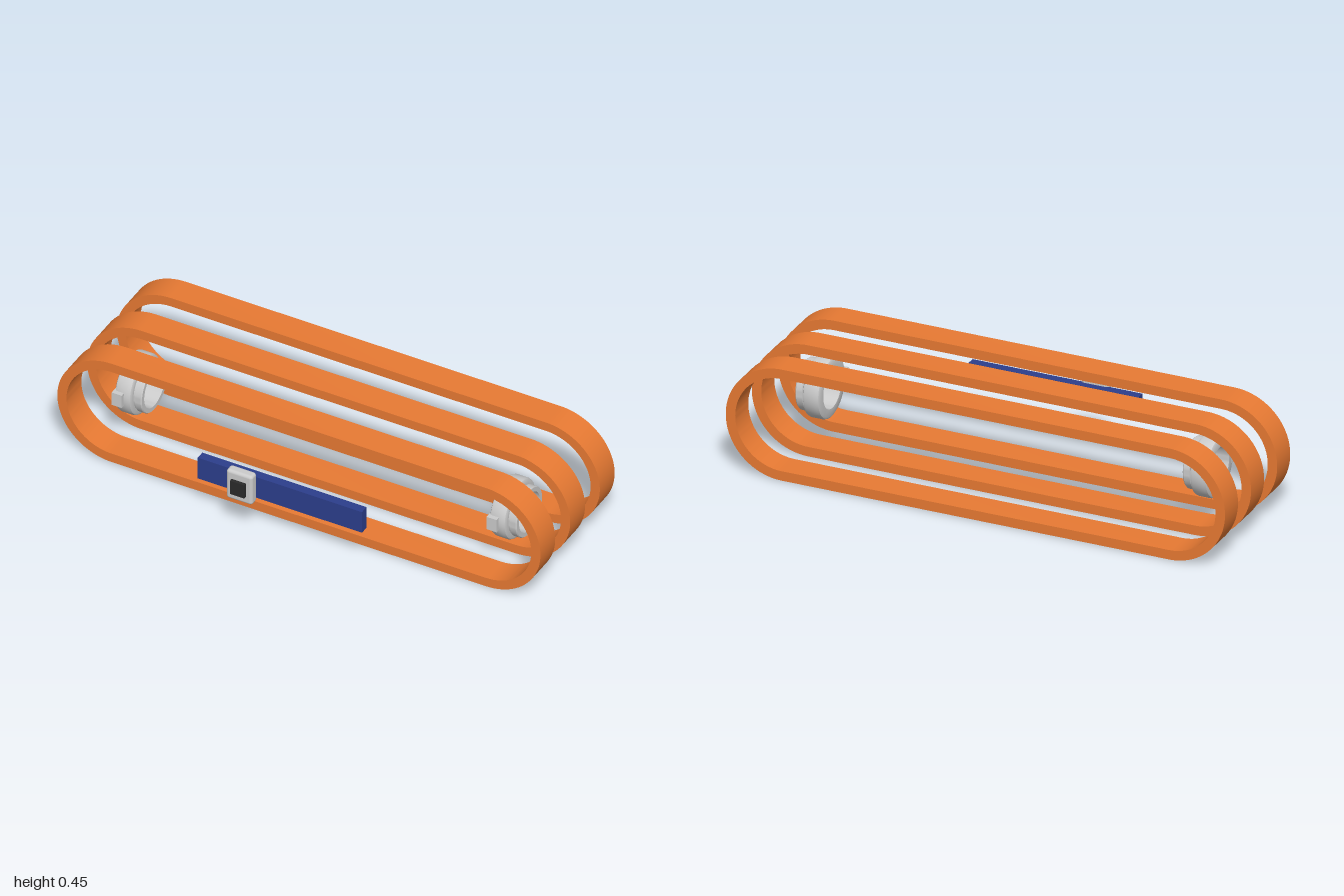
import * as THREE from 'three';
import { toCreasedNormals } from 'three/addons/utils/BufferGeometryUtils.js';
import { RoundedBoxGeometry } from 'three/addons/geometries/RoundedBoxGeometry.js';

const MID_Y = 0.224;

const orange = new THREE.MeshStandardMaterial({ color: 0xe87a33 });
const blue = new THREE.MeshStandardMaterial({ color: 0x2c3e8c });
const dark = new THREE.MeshStandardMaterial({ color: 0x2b2b2b });
const grey = new THREE.MeshStandardMaterial({ color: 0xcccccc });

function addMesh(parent, name, geometry, material, x = 0, y = 0, z = 0) {
  const mesh = new THREE.Mesh(geometry, material);
  mesh.name = name;
  mesh.position.set(x, y, z);
  parent.add(mesh);
  return mesh;
}

// Closed outline: two half circles joined by straight runs
function stadium(path, halfRun, r) {
  path.moveTo(-halfRun, -r);
  path.lineTo(halfRun, -r);
  path.absarc(halfRun, 0, r, -Math.PI / 2, Math.PI / 2, false);
  path.lineTo(-halfRun, r);
  path.absarc(-halfRun, 0, r, Math.PI / 2, Math.PI * 1.5, false);
  return path;
}

// Flat strap loop, extruded along z
function bandGeometry(depth) {
  const halfRun = 1 - MID_Y;
  const shape = stadium(new THREE.Shape(), halfRun, MID_Y);
  shape.holes.push(stadium(new THREE.Path(), halfRun, MID_Y - 0.038));
  const geo = new THREE.ExtrudeGeometry(shape, { depth, bevelEnabled: false, curveSegments: 32 });
  geo.translate(0, 0, -depth / 2);
  return toCreasedNormals(geo, 0.5);
}

// Stepped hollow ring turned around the x axis, with a small tab in front
function createRing(name) {
  const ring = new THREE.Group();
  ring.name = name;
  const profile = [
    [0.079, 0], [0.108, 0], [0.115, 0.004], [0.118, 0.012], [0.118, 0.056],
    [0.115, 0.064], [0.108, 0.068], [0.094, 0.068], [0.094, 0.074], [0.099, 0.076],
    [0.099, 0.1], [0.096, 0.104], [0.079, 0.104], [0.079, 0],
  ].map(([r, h]) => new THREE.Vector2(r, h));
  const body = toCreasedNormals(new THREE.LatheGeometry(profile, 64), 0.6);
  body.rotateZ(-Math.PI / 2);
  addMesh(ring, 'ringBody', body, grey);
  addMesh(ring, 'ringTab', new THREE.BoxGeometry(0.042, 0.056, 0.03), grey, 0.019, 0, 0.117);
  return ring;
}

export function createModel() {
  const model = new THREE.Group();
  model.name = 'strapAssembly';

  // Three parallel straps
  const band = bandGeometry(0.112);
  [['frontBand', 0.132], ['middleBand', -0.093], ['rearBand', -0.317]].forEach(
    ([name, z]) => addMesh(model, name, band, orange, 0, MID_Y, z));

  // Rings near both ends
  [['rightRing', -0.814], ['leftRing', 0.738]].forEach(([name, x]) => {
    const ring = createRing(name);
    ring.position.set(x, MID_Y + 0.001, -0.018);
    model.add(ring);
  });

  // Flat bar with a rounded housing and a dark square window
  addMesh(model, 'bar', new THREE.BoxGeometry(0.68, 0.094, 0.035), blue, -0.002, 0.225, 0.311);
  addMesh(model, 'housing', new RoundedBoxGeometry(0.108, 0.13, 0.04, 4, 0.012), grey, -0.154, 0.225, 0.341);
  addMesh(model, 'window', new THREE.BoxGeometry(0.06, 0.06, 0.02), dark, -0.154, 0.225, 0.364);

  return model;
}
